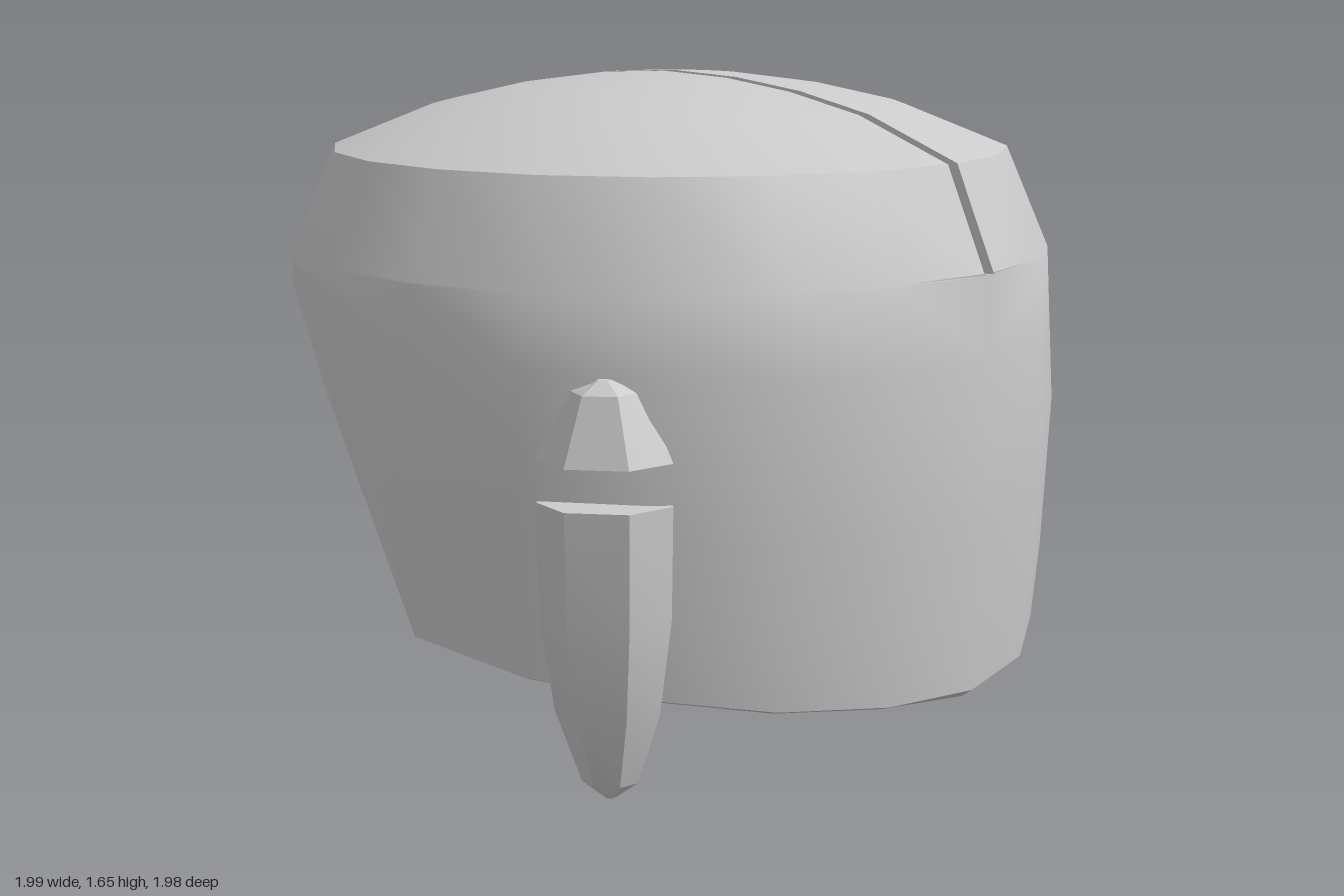
import * as THREE from 'three';
import { mergeGeometries, toCreasedNormals } from 'three/addons/utils/BufferGeometryUtils.js';

const SLIT = 0.02, SLIT_Y = 1.2, COLS = 10;

// Bottom edge heights per column, from the front (+z) round to the back
const OUTER_EDGE = [0.17, 0.185, 0.21, 0.25, 0.29, 0.35, 0.9, 1.14, 1.15, 1.15, 1.15];
const INNER_EDGE = [0.15, 0.175, 0.2, 0.24, 0.28, 0.34, 0.88, 1.07, 1.08, 1.08, 1.08];

// Wall radius against height, outside and inside: [y, r]
const OUTER_WALL = [[0.15, 0.95], [0.3, 0.968], [0.4, 0.977], [0.8, 1], [1.2, 0.98]];
const INNER_WALL = [[0.15, 0.9], [0.4, 0.915], [0.8, 0.92], [1.0, 0.91], [1.08, 0.9], [1.14, 0.8]];

// Closed parts above the wall: [r, y]
const DOME = [[0, 1.65], [0.2, 1.64], [0.4, 1.613], [0.61, 1.565], [0.87, 1.46], [0.978, 1.205]];
const CEILING = [[0.62, 1.2], [0.61, 1.205], [0.46, 1.24], [0.36, 1.46], [0, 1.52]];

function radiusAt(table, y) {
  for (let i = 1; i < table.length; i++) {
    const [y0, r0] = table[i - 1], [y1, r1] = table[i];
    if (y <= y1) return r0 + (r1 - r0) * Math.max(0, (y - y0) / (y1 - y0));
  }
  return table[table.length - 1][1];
}

// Skin a grid of points rows[i][j]; rows run downwards, columns anticlockwise seen from above
function skin(rows) {
  const pos = [];
  const tri = (...pts) => pts.forEach(p => pos.push(...p));
  for (let i = 0; i < rows.length - 1; i++) {
    for (let j = 0; j < rows[i].length - 1; j++) {
      const a = rows[i][j], b = rows[i][j + 1], c = rows[i + 1][j], d = rows[i + 1][j + 1];
      tri(a, c, b);
      tri(b, c, d);
    }
  }
  const g = new THREE.BufferGeometry();
  g.setAttribute('position', new THREE.Float32BufferAttribute(pos, 3));
  return g;
}

// Mirror across x = 0 and restore the winding
function mirrorX(geometry) {
  const g = geometry.clone(), p = g.attributes.position;
  for (let i = 0; i < p.count; i += 3) {
    const v = [0, 2, 1].map(k => new THREE.Vector3().fromBufferAttribute(geometry.attributes.position, i + k));
    v.forEach((q, k) => p.setXYZ(i + k, -q.x, q.y, q.z));
  }
  return g;
}

// One half of the shell, with the cut face of the crown slit
function halfShell() {
  const point = (r, y, j) => {
    const a = j * Math.PI / COLS;
    const x = r * Math.sin(a);
    return [y > SLIT_Y + 0.001 ? Math.max(x, SLIT) : (j % COLS ? x : 0), y, r * Math.cos(a)];
  };
  const columns = Array.from({ length: COLS + 1 }, (_, j) => {
    const col = DOME.map(([r, y]) => point(r, y, j));
    for (let k = 0; k <= 5; k++) { // outer wall
      const y = THREE.MathUtils.lerp(SLIT_Y, OUTER_EDGE[j], k / 5);
      col.push(point(radiusAt(OUTER_WALL, y), y, j));
    }
    const yIn = INNER_EDGE[j]; // bevelled lip
    col.push(point(radiusAt(OUTER_WALL, yIn) - 0.025, yIn, j));
    for (let k = 0; k <= 6; k++) { // inner wall
      const y = THREE.MathUtils.lerp(yIn, 1.14, k / 6);
      col.push(point(radiusAt(INNER_WALL, y), y, j));
    }
    CEILING.forEach(([r, y]) => col.push(point(r, y, j)));
    return col;
  });
  const rows = columns[0].map((_, i) => columns.map(col => col[i]));

  const cut = col => col.filter(p => p[1] >= SLIT_Y).map(p => new THREE.Vector2(p[2], p[1]));
  const outline = [...cut(columns[0]), ...cut(columns[COLS]).reverse().slice(1, -1)];
  const face = new THREE.ShapeGeometry(new THREE.Shape(outline)).toNonIndexed();
  face.rotateY(-Math.PI / 2).translate(SLIT, 0, 0);
  face.deleteAttribute('normal');
  face.deleteAttribute('uv');
  return mergeGeometries([skin(rows), face]);
}

// Side fin: rows of [y, width scale, outer radius], top to bottom, on a slanted radial axis
function fin(levels) {
  const inner = 0.885, angle = Math.PI / 6;
  const ring = ([y, s, out]) => {
    const mid = (inner + out) / 2;
    const section = [[inner, 0.13], [mid, 0.16], [out, 0.075], [out, -0.075], [mid, -0.16], [inner, -0.13], [inner, 0.13]];
    return section.map(([r, t]) => [
      r * Math.cos(angle) - t * s * Math.sin(angle), y,
      r * Math.sin(angle) + t * s * Math.cos(angle)]);
  };
  const rings = levels.map(ring);
  const collapse = r => { // centre point used to close an end
    const c = [0, 1, 2].map(k => r.slice(0, 6).reduce((sum, p) => sum + p[k], 0) / 6);
    return r.map(() => c);
  };
  return skin([collapse(rings[0]), ...rings, collapse(rings[rings.length - 1])]);
}

export function createModel() {
  const group = new THREE.Group();
  const material = new THREE.MeshStandardMaterial({ color: 0xcccccc });
  const add = (name, geometry, crease) => {
    const mesh = new THREE.Mesh(toCreasedNormals(geometry, crease), material);
    mesh.name = name;
    group.add(mesh);
  };

  // Helmet shell
  const half = halfShell();
  add('helmetShell', mergeGeometries([half, mirrorX(half)]), 0.62);

  // Ends of the crown slit
  for (const side of [1, -1]) {
    const floor = new THREE.PlaneGeometry(SLIT * 2, 0.36).rotateX(-Math.PI / 2);
    floor.translate(0, SLIT_Y, side * 0.8);
    add(side > 0 ? 'frontSlitEnd' : 'backSlitEnd', floor, 0.5);
  }

  // Side fins and the caps above them
  const lower = fin([[0.72, 1, 1.09], [0.45, 0.97, 1.075], [0.22, 0.78, 1.035], [0.04, 0.42, 0.97], [0, 0.1, 0.93]]);
  const cap = fin([[1.01, 0.15, 1.0], [0.98, 0.55, 1.04], [0.82, 1, 1.09]]);
  for (const [side, shape] of [['left', g => g], ['right', mirrorX]]) {
    add(side + 'Fin', shape(lower), 0.45);
    add(side + 'FinCap', shape(cap), 0.45);
  }
  return group;
}
